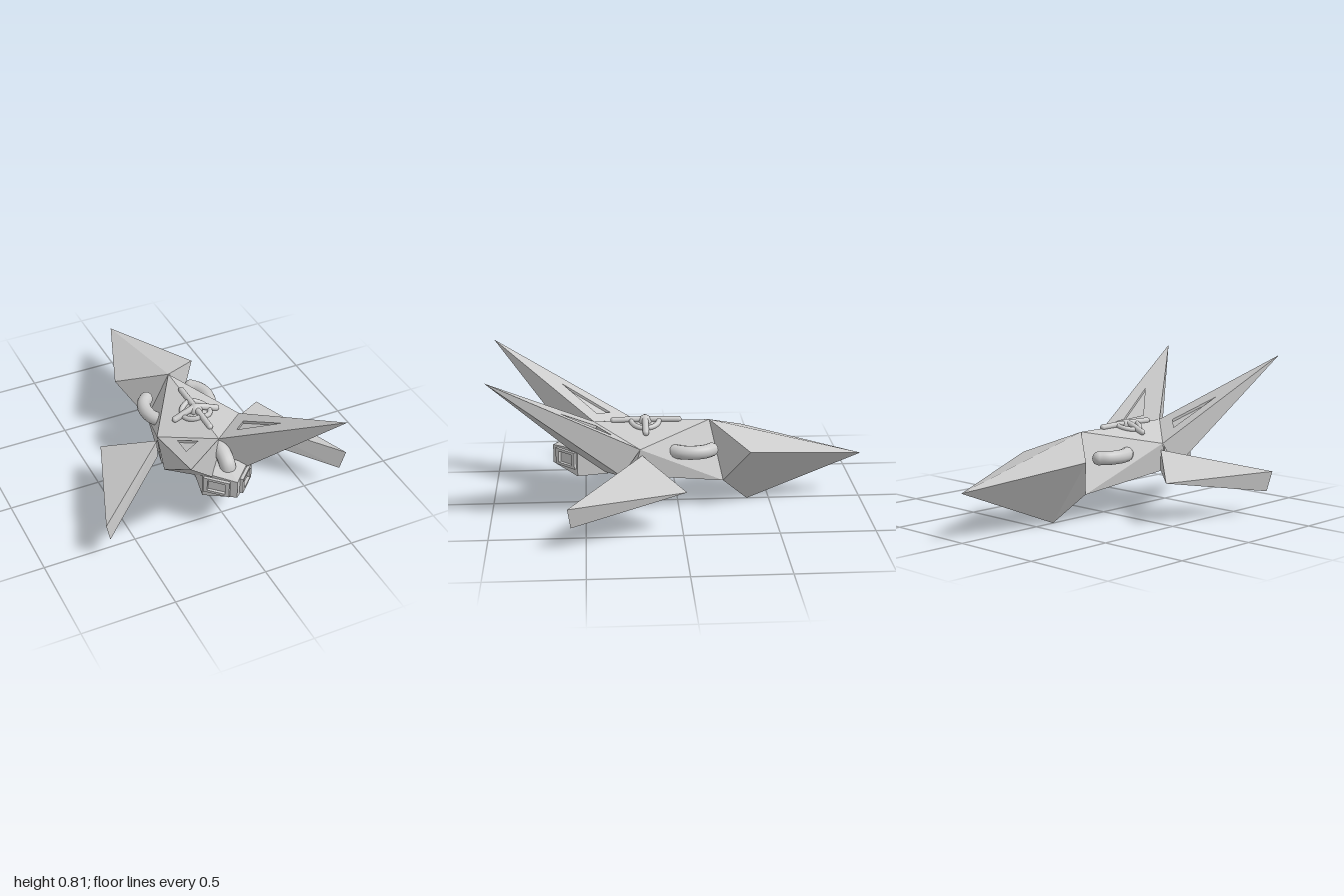
import * as THREE from 'three';
import { ConvexGeometry } from 'three/addons/geometries/ConvexGeometry.js';

const flat = new THREE.MeshStandardMaterial({ color: 0xcccccc, flatShading: true });
const thin = new THREE.MeshStandardMaterial({ color: 0xcccccc, flatShading: true, side: THREE.DoubleSide });
const smooth = new THREE.MeshStandardMaterial({ color: 0xcccccc });
const V = (p) => new THREE.Vector3(...p);

export function createModel() {
  const model = new THREE.Group();

  const add = (name, geometry, material = flat, parent = model) => {
    const mesh = new THREE.Mesh(geometry, material);
    mesh.name = name;
    parent.add(mesh);
    return mesh;
  };
  // Faceted solid around a few corners
  const solid = (name, pts, parent) => add(name, new ConvexGeometry(pts.map(V)), flat, parent);
  // Both signs of x for the given corners
  const both = (pts) => pts.flatMap(([x, y, z]) => [[x, y, z], [-x, y, z]]);
  // Open panels from corner loops, fan-triangulated
  const panels = (name, loops, parent) => {
    const out = [];
    for (const loop of loops)
      for (let i = 1; i < loop.length - 1; i++) out.push(...loop[0], ...loop[i], ...loop[i + 1]);
    const g = new THREE.BufferGeometry();
    g.setAttribute('position', new THREE.Float32BufferAttribute(out, 3));
    g.computeVertexNormals();
    return add(name, g, thin, parent);
  };
  // Round bar with domed ends
  const bar = (name, pts, r, parent = model, closed = false) => {
    const group = new THREE.Group();
    group.name = name;
    parent.add(group);
    const curve = new THREE.CatmullRomCurve3(pts.map(V), closed);
    add(name + 'Tube', new THREE.TubeGeometry(curve, 40, r, 14, closed), smooth, group);
    if (!closed) for (const p of [pts[0], pts[pts.length - 1]]) {
      add(name + 'End', new THREE.SphereGeometry(r, 14, 10), smooth, group).position.set(...p);
    }
  };

  // Kite-topped body
  solid('body', [
    [0, 0.46, -0.17], [0, 0.46, 0.45], [0, 0.19, 0.45],
    ...both([[0.24, 0.38, 0.21], [0.235, 0.235, 0.25], [0.15, 0.2, 0.2], [0.1, 0.145, -0.24]]),
  ]);

  // Long pointed tail
  solid('tail', [
    [0, 0.25, -1], [0, 0.46, -0.17], [0, 0, -0.38],
    ...both([[0.235, 0.35, -0.37], [0.1, 0.145, -0.24]]),
  ]);

  // Head with a ridged front
  solid('head', [
    [0, 0.335, 0.67], [0, 0.235, 0.67], [0, 0.365, 0.54], [0, 0.175, 0.52],
    ...both([[0.135, 0.35, 0.54], [0.135, 0.2, 0.54], [0.1, 0.34, 0.38], [0.1, 0.2, 0.38]]),
  ]);

  // Rounded crest over the head
  bar('crest', [[0, 0.41, 0.42], [0, 0.405, 0.49], [0, 0.37, 0.55], [0, 0.31, 0.56]], 0.042);

  for (const s of [1, -1]) {
    const side = new THREE.Group();
    side.name = s > 0 ? 'leftSide' : 'rightSide';
    model.add(side);

    // Square eye frame on the slanted front face
    const frame = new THREE.Shape([[-0.07, -0.045], [0.07, -0.045], [0.07, 0.045], [-0.07, 0.045]]
      .map((p) => new THREE.Vector2(...p)));
    frame.holes.push(new THREE.Path([[-0.048, -0.031], [-0.048, 0.031], [0.048, 0.031], [0.048, -0.031]]
      .map((p) => new THREE.Vector2(...p))));
    const eye = add('eyeFrame', new THREE.ExtrudeGeometry(frame, { depth: 0.02, bevelEnabled: false }), flat, side);
    eye.position.set(s * 0.075, 0.285, 0.593);
    eye.rotation.y = s * Math.PI / 4;

    // Wing: slab front edge narrowing to a rear point
    solid('wing', [
      [0.235, 0.345, 0.2], [0.235, 0.235, 0.2], [0.69, 0.235, 0.59],
      [0.665, 0.125, 0.575], [0.47, 0.225, -0.02],
    ].map(([x, y, z]) => [s * x, y, z]), side);

    // Raised fin with a triangular recess in its top
    const A = [0, 0.46, 0.45], B = [s * 0.24, 0.38, 0.21], T = [s * 0.415, 0.81, 0.99];
    const lowOut = [s * 0.245, 0.235, 0.31], lowIn = [0, 0.19, 0.45];
    panels('finSides', [[T, B, lowOut], [T, lowOut, lowIn], [T, lowIn, A]], side);
    const n = V(B).sub(V(A)).cross(V(T).sub(V(A)));
    const onTop = (x, z) => A[1] - (n.x * x + n.z * (z - A[2])) / n.y;
    const hole = [[0.19, 0.355], [0.11, 0.435], [0.265, 0.62]].map(([x, z]) => [s * x, z]);
    const top = new THREE.Shape([A, B, T].map((p) => new THREE.Vector2(p[0], p[2])));
    top.holes.push(new THREE.Path(hole.map((p) => new THREE.Vector2(...p))));
    const topGeo = new THREE.ShapeGeometry(top);
    const pos = topGeo.attributes.position;
    for (let i = 0; i < pos.count; i++) {
      const x = pos.getX(i), z = pos.getY(i);
      pos.setXYZ(i, x, onTop(x, z), z);
    }
    topGeo.computeVertexNormals();
    add('finTop', topGeo, thin, side);
    const rim = hole.map(([x, z]) => [x, onTop(x, z), z]);
    const floor = rim.map(([x, y, z]) => [x, y - 0.015, z]);
    panels('finRecess', [floor, ...rim.map((p, i) => {
      const j = (i + 1) % 3;
      return [p, rim[j], floor[j], floor[i]];
    })], side);

    // Curved side handle
    bar('sideHandle', [[0.135, -0.172], [0.165, -0.135], [0.18, -0.07], [0.165, 0], [0.12, 0.045], [0.06, 0.05]]
      .map(([x, z]) => [s * x, 0.335, z]), 0.037, side);
  }

  // Ring and cross ornament draped over the ridge
  const ornament = new THREE.Group();
  ornament.name = 'ornament';
  model.add(ornament);
  const ring = [];
  for (let i = 0; i < 24; i++) {
    const a = i / 24 * Math.PI * 2, x = 0.075 * Math.cos(a);
    ring.push([x, 0.465 - 0.3 * Math.abs(x), 0.175 + 0.075 * Math.sin(a)]);
  }
  bar('ornamentRing', ring, 0.014, ornament, true);
  bar('longBar', [[0, 0.465, -0.005], [0, 0.468, 0.175], [0, 0.465, 0.345]], 0.016, ornament);
  bar('crossBar', [[-0.12, 0.432, 0.175], [0, 0.472, 0.175], [0.12, 0.432, 0.175]], 0.017, ornament);
  add('ornamentBoss', new THREE.SphereGeometry(0.037, 20, 14), smooth, ornament).position.set(0, 0.455, 0.175);

  return model;
}
